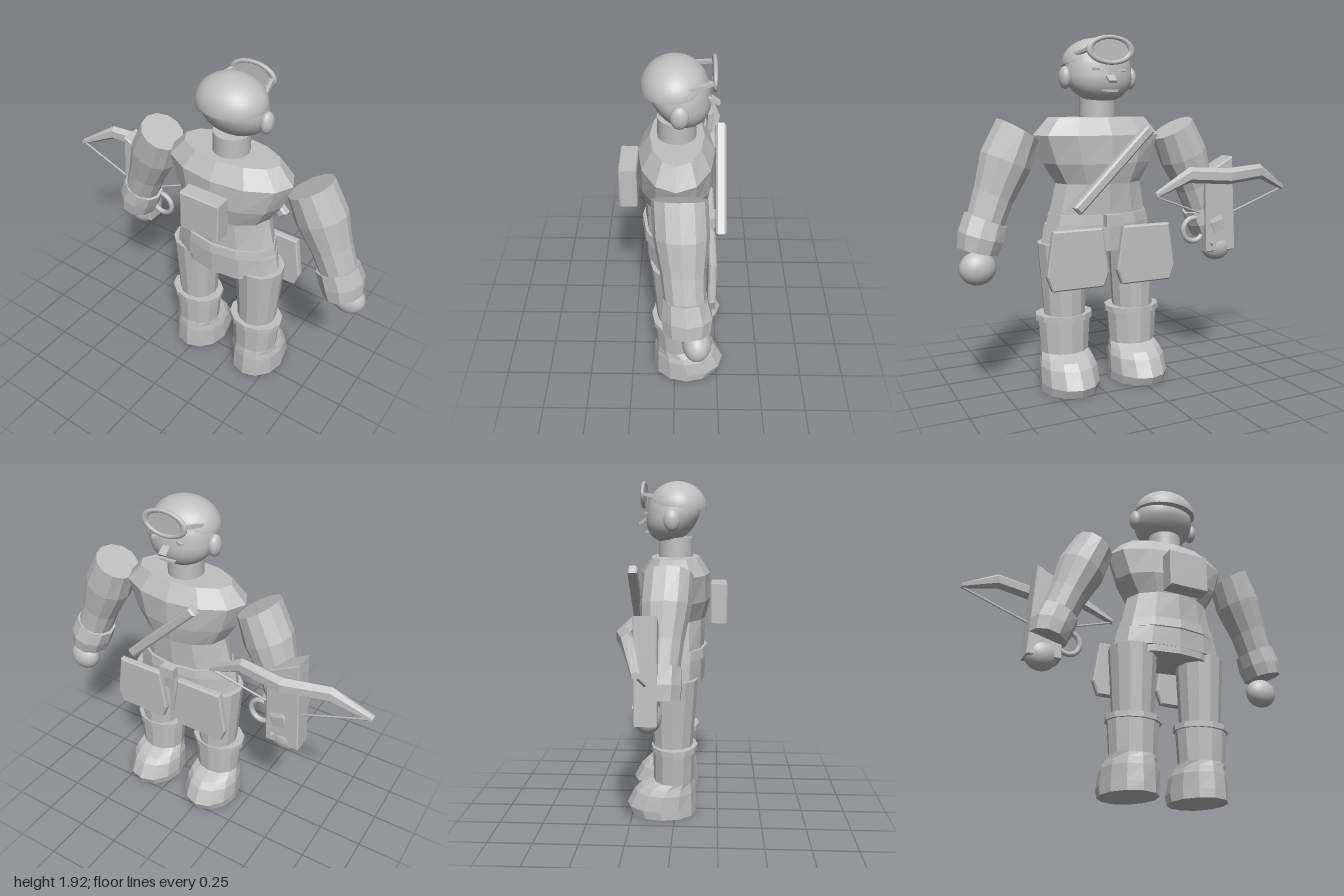
import * as THREE from 'three';

const CX = 0.185; // symmetry plane of the body

// Closed skin over elliptical rings [x, y, z, rx, rz, tilt], listed from bottom to top
function loft(rings, n) {
  const pos = [];
  const pt = ([x, y, z, rx, rz, t = 0], j) => {
    const a = ((j % n) / n) * Math.PI * 2;
    const u = rx * Math.cos(a);
    return [x + u * Math.cos(t), y + u * Math.sin(t), z + rz * Math.sin(a)];
  };
  const first = rings[0], last = rings[rings.length - 1];
  for (let j = 0; j < n; j++) {
    for (let i = 0; i < rings.length - 1; i++) {
      const a = pt(rings[i], j), b = pt(rings[i], j + 1);
      const c = pt(rings[i + 1], j), d = pt(rings[i + 1], j + 1);
      pos.push(...a, ...c, ...b, ...b, ...c, ...d);
    }
    pos.push(...first.slice(0, 3), ...pt(first, j), ...pt(first, j + 1));
    pos.push(...last.slice(0, 3), ...pt(last, j + 1), ...pt(last, j));
  }
  const g = new THREE.BufferGeometry();
  g.setAttribute('position', new THREE.Float32BufferAttribute(pos, 3));
  g.computeVertexNormals();
  return g;
}

function extrude(points, depth, bevel) {
  return new THREE.ExtrudeGeometry(new THREE.Shape(points.map(([x, y]) => new THREE.Vector2(x, y))), {
    depth, bevelSize: bevel, bevelThickness: bevel, bevelOffset: -bevel, bevelSegments: 1,
  });
}

export function createModel() {
  const gray = new THREE.MeshStandardMaterial({ color: 0xc0c0c0 });
  gray.name = 'lightGray';
  const model = new THREE.Group();
  model.name = 'crossbowFigure';
  const add = (name, geo, x = 0, y = 0, z = 0) => {
    const m = new THREE.Mesh(geo, gray);
    m.name = name;
    m.position.set(x, y, z);
    model.add(m);
    return m;
  };
  const box = (name, w, h, d, x, y, z) => add(name, new THREE.BoxGeometry(w, h, d), x, y, z);
  const ball = (name, r, x, y, z, sx, sy, sz) => {
    const m = add(name, new THREE.SphereGeometry(r, 32, 20), x, y, z);
    m.scale.set(sx, sy, sz);
    return m;
  };

  // Torso, belt and hips
  add('torso', loft([
    [CX, 0.97, -0.005, 0.29, 0.165], [CX, 1.14, -0.008, 0.25, 0.175], [CX, 1.25, -0.005, 0.32, 0.2],
    [CX, 1.40, -0.007, 0.375, 0.2], [CX, 1.495, -0.01, 0.29, 0.14],
  ], 12));
  add('belt', loft([[CX, 0.92, -0.005, 0.305, 0.188], [CX, 0.975, -0.005, 0.295, 0.183]], 12));
  add('hips', loft([[CX, 0.81, 0, 0.335, 0.165], [CX, 0.92, 0, 0.315, 0.17]], 12));
  add('crotch', loft([[CX, 0.77, 0, 0.29, 0.163], [CX, 0.86, 0, 0.29, 0.166]], 12));
  box('beltBuckle', 0.09, 0.065, 0.05, CX, 0.947, -0.21);

  // Small pack on the back and diagonal bar on the chest
  add('backPack', extrude([[-0.12, -0.113], [0.12, -0.113], [0.12, 0.113], [-0.12, 0.113]], 0.084, 0.006), CX, 1.232, 0.203);
  const bar = add('chestBar', extrude([[-0.3, -0.027], [0.3, -0.027], [0.3, 0.027], [-0.3, 0.027]], 0.035, 0.01), CX + 0.01, 1.225, -0.26);
  bar.rotation.z = -0.78;

  // Legs, boots, hip plates, arms and ears in mirrored pairs
  for (const s of [-1, 1]) {
    const side = s > 0 ? 'left' : 'right';
    const lx = CX + s * 0.21;
    add(side + 'Leg', loft([[lx, 0.40, -0.015, 0.115, 0.115], [lx + s * 0.005, 0.815, -0.005, 0.14, 0.137]], 12));
    add(side + 'BootCuff', loft([[lx, 0.385, -0.005, 0.163, 0.135], [lx, 0.417, -0.005, 0.163, 0.135]], 12));
    add(side + 'Boot', loft([
      [lx, 0, -0.07, 0.16, 0.195], [lx, 0.05, -0.081, 0.162, 0.206], [lx, 0.14, -0.06, 0.158, 0.18],
      [lx, 0.175, -0.045, 0.146, 0.16], [lx, 0.205, -0.01, 0.136, 0.118], [lx, 0.39, -0.007, 0.15, 0.123],
    ], 12));

    add(side + 'HipPlate', extrude([
      [-0.14, 0.91], [-0.177, 0.67], [-0.147, 0.588], [0.147, 0.588], [0.177, 0.67], [0.14, 0.91],
    ], 0.026, 0.008), CX + s * 0.202, 0, -0.213);

    const mirrored = (rings) => rings.map(([x, y, z, rx, rz, t]) => [CX + s * (x - CX), y, z, rx, rz, s * t]);
    add(side + 'Arm', loft(mirrored([
      [0.865, 0.90, -0.06, 0.1, 0.1, 0.35], [0.79, 1.10, -0.045, 0.112, 0.11, 0.45],
      [0.72, 1.27, -0.035, 0.142, 0.135, 0.4], [0.65, 1.43, -0.025, 0.125, 0.135, 0.53],
    ]), 12));
    add(side + 'Gauntlet', loft(mirrored([
      [0.888, 0.815, -0.065, 0.108, 0.12, 0.25], [0.868, 0.89, -0.065, 0.124, 0.128, 0.3],
      [0.835, 0.975, -0.055, 0.122, 0.112, 0.4],
    ]), 10));
    ball(side + 'Hand', 0.09, CX + s * 0.718, 0.735, -0.115, 1.06, 0.98, 0.8);
    ball(side + 'Ear', 0.06, CX + s * 0.193, 1.705, -0.022, 0.55, 1, 0.75);
  }

  // Neck, head and cap
  add('neck', new THREE.CylinderGeometry(0.1, 0.1, 0.13, 24), CX, 1.54, -0.008);
  const head = ball('head', 0.16, CX, 1.74, -0.022, 1.17, 1.03, 0.95);
  const hp = head.geometry.attributes.position;
  for (let i = 0; i < hp.count; i++) { // the jaw is pushed forward and kept broad
    const d = Math.max(0, -hp.getY(i));
    hp.setX(i, hp.getX(i) * (1 + 0.6 * d));
    hp.setZ(i, hp.getZ(i) - 0.25 * d);
  }
  head.geometry.computeVertexNormals();
  const cap = add('cap', new THREE.SphereGeometry(1, 32, 12, 0, Math.PI * 2, 0, Math.PI / 2), CX, 1.775, 0.005);
  cap.scale.set(0.193, 0.147, 0.167);
  cap.rotation.x = 0.08;
  const capBase = add('capUnderside', new THREE.CircleGeometry(1, 32), CX, 1.775, 0.005);
  capBase.scale.set(0.193, 0.167, 1);
  capBase.rotation.x = Math.PI / 2 + 0.08;

  // Single-lens goggles pushed up on the forehead
  const rim = add('goggleRim', new THREE.TorusGeometry(0.066, 0.011, 8, 32), CX, 1.845, -0.19);
  rim.scale.x = 1.8;
  const lens = add('goggleLens', new THREE.CylinderGeometry(0.064, 0.064, 0.008, 32), CX, 1.845, -0.187);
  lens.rotation.x = Math.PI / 2;
  lens.scale.x = 1.8;
  for (const s of [-1, 1]) {
    const temple = box('goggleArm', 0.02, 0.018, 0.14, CX + s * 0.135, 1.835, -0.115);
    temple.rotation.set(0.2, s * 0.25, 0);
    const eye = box('eye', 0.05, 0.014, 0.02, CX + s * 0.07, 1.745, -0.163);
    eye.rotation.y = s * 0.4;
  }
  const nose = box('nose', 0.045, 0.014, 0.07, CX, 1.7, -0.19);
  nose.rotation.x = -0.6;
  box('mouth', 0.09, 0.012, 0.02, CX, 1.635, -0.172);

  // Crossbow carried beside the right hand
  add('crossbowStock', extrude([[-0.63, 0.71], [-0.43, 0.71], [-0.42, 1.17], [-0.6, 1.265]], 0.108, 0.006), 0, 0, -0.174);
  const T = -Math.PI / 2;
  add('crossbowLimb', loft([
    [-1.0, 1.063, -0.125, 0.018, 0.022, T], [-0.79, 1.17, -0.185, 0.045, 0.032, T], [-0.54, 1.155, -0.23, 0.047, 0.042, T],
    [-0.29, 1.17, -0.21, 0.045, 0.032, T], [-0.085, 1.063, -0.19, 0.018, 0.022, T],
  ], 6));
  const nock = new THREE.Vector3(-0.54, 0.89, -0.12);
  for (const tip of [[-0.99, 1.055, -0.125], [-0.09, 1.055, -0.19]]) {
    const path = new THREE.LineCurve3(new THREE.Vector3(...tip), nock);
    add('bowString', new THREE.TubeGeometry(path, 1, 0.006, 6));
  }
  add('triggerGuard', new THREE.TorusGeometry(0.068, 0.016, 8, 24), -0.375, 0.84, -0.12);
  const pin = add('stockPin', new THREE.CylinderGeometry(0.014, 0.014, 0.02, 10), -0.47, 0.76, -0.19);
  pin.rotation.x = Math.PI / 2;

  return model;
}
